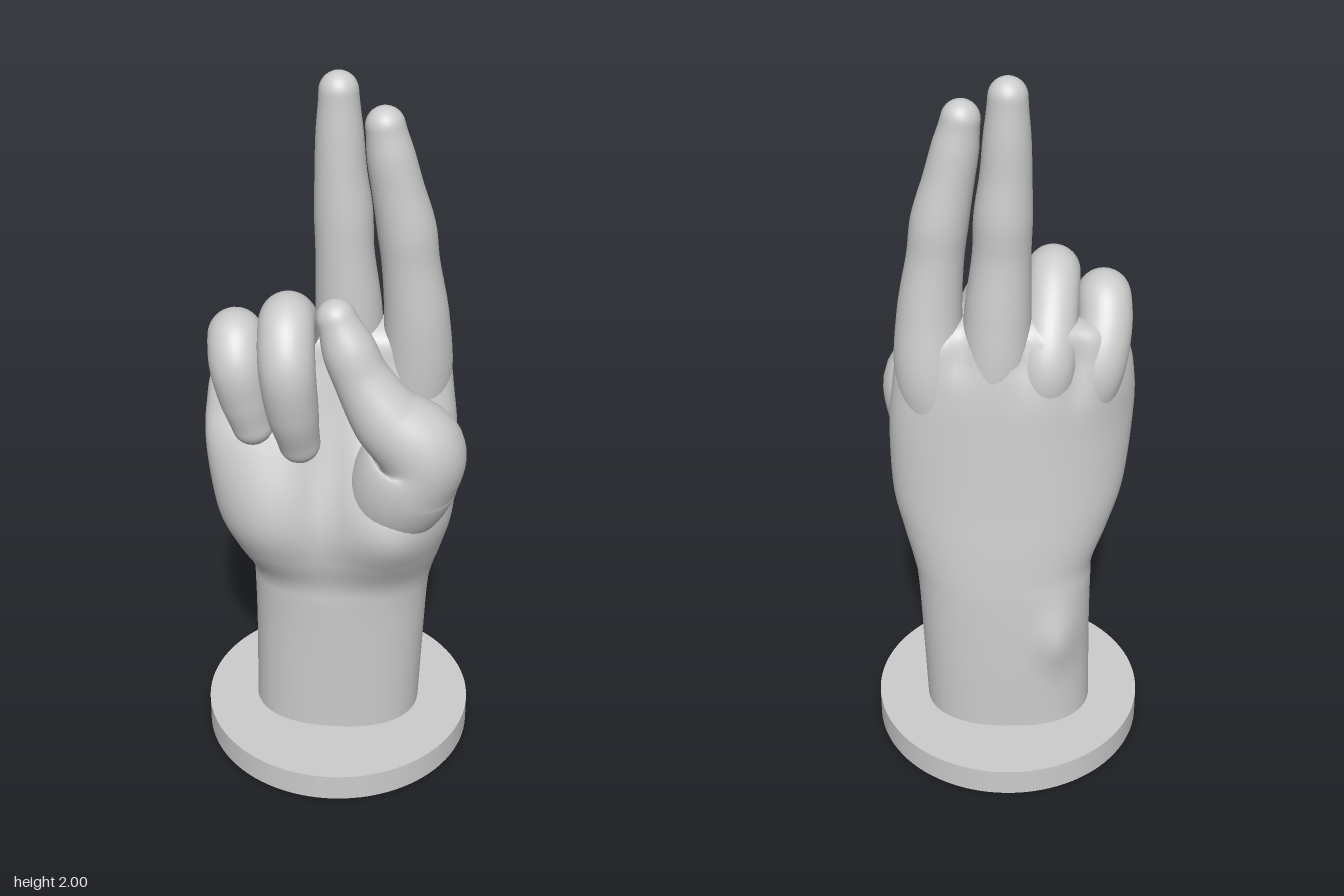
import * as THREE from 'three';

const material = new THREE.MeshStandardMaterial({ color: 0xcccccc });

// Smooth 1D interpolation through evenly spaced values
function track(values) {
  const curve = new THREE.SplineCurve(values.map((v, i) => new THREE.Vector2(i, v)));
  return (t) => curve.getPoint(t).y;
}

// Skin closed rings of points into one smooth surface
function skin(rings) {
  const n = rings[0].length, index = [];
  for (let i = 0; i < rings.length - 1; i++) {
    for (let j = 0; j < n; j++) {
      const k = (j + 1) % n, a = i * n, b = a + n;
      index.push(a + j, a + k, b + j, a + k, b + k, b + j);
    }
  }
  const geometry = new THREE.BufferGeometry().setFromPoints(rings.flat());
  geometry.setIndex(index);
  geometry.computeVertexNormals();
  return geometry;
}

// Rounded limb through [x, y, z, radius] points, with hemispherical ends
function limb(points, steps = 64, sides = 36) {
  const curve = new THREE.CatmullRomCurve3(points.map((p) => new THREE.Vector3(p[0], p[1], p[2])));
  const radius = track(points.map((p) => p[3]));
  const normal = new THREE.Vector3(1, 0, 0);
  const rings = [];
  const addRing = (t, angle) => {
    const tangent = curve.getTangent(t);
    normal.addScaledVector(tangent, -normal.dot(tangent)).normalize();
    const side = new THREE.Vector3().crossVectors(tangent, normal);
    const r = radius(t) * Math.cos(angle);
    const centre = curve.getPoint(t).addScaledVector(tangent, radius(t) * Math.sin(angle));
    rings.push(Array.from({ length: sides }, (_, j) => {
      const a = (j / sides) * Math.PI * 2;
      return centre.clone().addScaledVector(normal, r * Math.cos(a)).addScaledVector(side, r * Math.sin(a));
    }));
  };
  for (let i = 0; i < 8; i++) addRing(0, -Math.PI / 2 * (1 - i / 8));
  for (let i = 0; i <= steps; i++) addRing(i / steps, 0);
  for (let i = 1; i <= 8; i++) addRing(1, Math.PI / 2 * (i / 8));
  return skin(rings);
}

// Soft swellings and hollows of the body: [x, y, z, width, height, depth, push in z]
const swellings = [
  [0.17, 0.83, 0.17, 0.15, 0.17, 0.15, 0.095], // root of the thumb
  [-0.17, 0.84, 0.18, 0.13, 0.2, 0.15, 0.055], // heel below the little finger
  [-0.02, 0.95, 0.17, 0.05, 0.22, 0.12, -0.03], // hollow of the palm
  [-0.15, 0.38, -0.16, 0.06, 0.1, 0.1, -0.03], // wrist bone
  [-0.05, 1.27, -0.09, 0.03, 0.1, 0.06, 0.025], // dip beside the ring finger knuckle
  [-0.18, 1.22, -0.06, 0.03, 0.1, 0.08, 0.025], // dip beside the little finger knuckle
  [0.12, 1.28, -0.09, 0.03, 0.08, 0.06, 0.02], // dip between the raised fingers
];

function swell(p) {
  let push = 0;
  for (const [x, y, z, w, h, d, amount] of swellings) {
    push += amount * Math.exp(-(((p.x - x) / w) ** 2) - ((p.y - y) / h) ** 2 - ((p.z - z) / d) ** 2);
  }
  p.z += push;
  return p;
}

// Forearm, wrist and palm: rows of [y, xMin, xMax, zBack, zFront, cupping]
function handBody() {
  const rows = [
    [0.06, -0.24, 0.235, -0.19, 0.165, 0],
    [0.3, -0.235, 0.245, -0.186, 0.168, 0],
    [0.5, -0.235, 0.255, -0.18, 0.172, 0],
    [0.58, -0.24, 0.268, -0.174, 0.172, 0.1],
    [0.68, -0.282, 0.295, -0.165, 0.19, 0.3],
    [0.8, -0.322, 0.32, -0.152, 0.19, 0.5],
    [1.0, -0.343, 0.322, -0.135, 0.15, 0.8],
    [1.12, -0.34, 0.31, -0.125, 0.115, 0.8],
    [1.22, -0.318, 0.295, -0.11, 0.085, 0.8],
    [1.3, -0.24, 0.26, -0.085, 0.06, 0.6],
    [1.345, 0.01, 0.03, -0.02, -0.01, 0],
  ];
  const tracks = rows[0].map((_, c) => track(rows.map((row) => row[c])));
  const steps = 110, sides = 88, rings = [];
  const power = (v) => Math.sign(v) * Math.abs(v) ** 0.85;
  for (let i = 0; i <= steps; i++) {
    const [y, x0, x1, z0, z1, cup] = tracks.map((f) => f(i / steps));
    rings.push(Array.from({ length: sides }, (_, j) => {
      const a = (j / sides) * Math.PI * 2;
      const x = (x0 + x1) / 2 + (x1 - x0) / 2 * power(Math.sin(a));
      const z = (z0 + z1) / 2 + (z1 - z0) / 2 * power(Math.cos(a));
      return swell(new THREE.Vector3(x, y, z + cup * Math.min(0, x) ** 2));
    }));
  }
  return skin(rings);
}

export function createModel() {
  const group = new THREE.Group();
  const add = (name, geometry) => {
    const mesh = new THREE.Mesh(geometry, material);
    mesh.name = name;
    group.add(mesh);
    return mesh;
  };

  // Round plinth
  add('base', new THREE.CylinderGeometry(0.38, 0.38, 0.08, 96)).position.y = 0.04;

  add('forearmAndPalm', handBody());

  // Raised fingers, slightly thicker at the joints
  add('middleFinger', limb([
    [0.05, 0.98, -0.01, 0.075], [0.034, 1.18, -0.022, 0.092], [0.026, 1.36, -0.016, 0.087],
    [0.016, 1.52, -0.01, 0.076], [0.012, 1.63, -0.012, 0.075], [0.005, 1.74, -0.011, 0.066],
    [0.002, 1.84, -0.012, 0.06], [0, 1.948, -0.012, 0.05],
  ]));
  add('indexFinger', limb([
    [0.17, 0.96, -0.01, 0.08], [0.205, 1.16, -0.01, 0.095], [0.205, 1.34, 0.006, 0.086],
    [0.187, 1.5, 0.013, 0.075], [0.174, 1.6, 0.015, 0.075], [0.15, 1.71, 0.019, 0.066],
    [0.131, 1.8, 0.022, 0.06], [0.117, 1.875, 0.022, 0.05],
  ]));

  // Curled fingers
  add('ringFinger', limb([
    [-0.08, 1.02, 0.0, 0.07], [-0.1, 1.2, -0.032, 0.079], [-0.112, 1.32, 0.04, 0.072],
    [-0.118, 1.39, 0.145, 0.072], [-0.112, 1.31, 0.217, 0.073], [-0.1, 1.17, 0.21, 0.068],
    [-0.086, 1.055, 0.18, 0.055],
  ]));
  add('littleFinger', limb([
    [-0.19, 1.0, 0.04, 0.07], [-0.235, 1.17, 0.02, 0.076], [-0.256, 1.28, 0.07, 0.073],
    [-0.253, 1.332, 0.125, 0.072], [-0.245, 1.28, 0.17, 0.072], [-0.228, 1.18, 0.172, 0.066],
    [-0.21, 1.095, 0.165, 0.055],
  ]));

  // Thumb rising from its fleshy root and folded across the palm
  add('thumb', limb([
    [0.14, 0.78, 0.07, 0.1], [0.165, 0.87, 0.12, 0.135], [0.195, 0.96, 0.145, 0.143],
    [0.225, 1.045, 0.168, 0.122], [0.14, 1.145, 0.178, 0.095], [0.075, 1.25, 0.17, 0.074],
    [0.04, 1.33, 0.162, 0.069], [0.008, 1.408, 0.15, 0.052],
  ]));

  return group;
}
